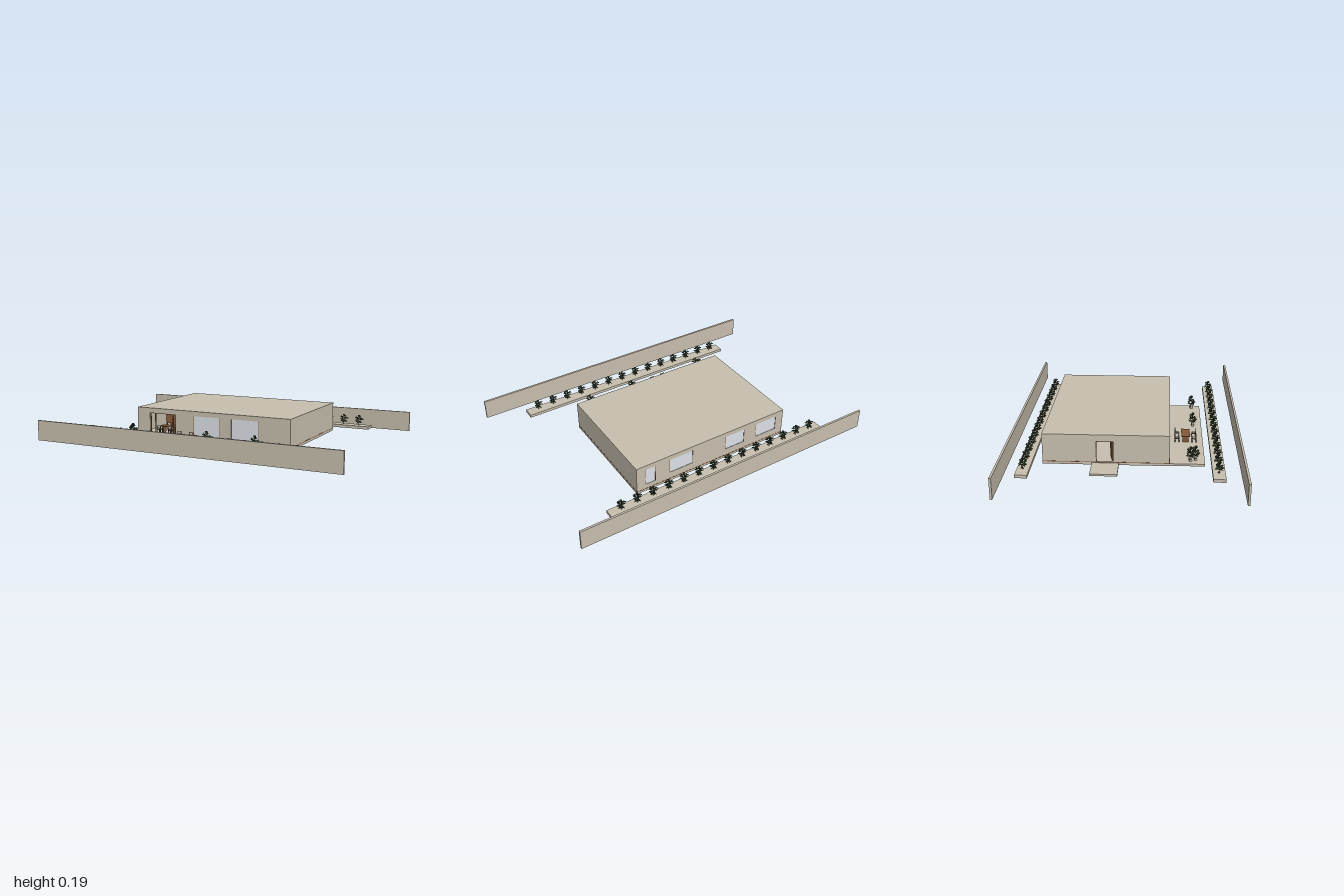
import * as THREE from 'three';
import { mergeGeometries } from 'three/addons/utils/BufferGeometryUtils.js';

const mat = (name, color, side = THREE.FrontSide) => {
  const m = new THREE.MeshStandardMaterial({ color, side });
  m.name = name;
  return m;
};

export function createModel() {
  const root = new THREE.Group();
  const stone = mat('stone', 0xc7bfae);
  const wood = mat('wood', 0x85593a);
  const darkWood = mat('dark wood', 0x5a3f2b);
  const glass = mat('glass', 0xdde1e8);
  const metal = mat('dark metal', 0x45413c);
  const leaf = mat('leaf', 0x3a4a35, THREE.DoubleSide);

  const add = (name, geo, material, parent = root) => {
    const m = new THREE.Mesh(geo, material);
    m.name = name;
    parent.add(m);
    return m;
  };
  // Box given by its limits on each axis
  const box = (name, material, x0, x1, y0, y1, z0, z1, parent = root) => {
    const g = new THREE.BoxGeometry(x1 - x0, y1 - y0, z1 - z0);
    g.translate((x0 + x1) / 2, (y0 + y1) / 2, (z0 + z1) / 2);
    return add(name, g, material, parent);
  };

  // Boundary walls and planters
  for (const z of [0.685, -0.685]) box('boundaryWall', stone, -1, 1, 0.003, 0.13, z - 0.0065, z + 0.0065);
  box('frontPlanter', stone, -0.765, 0.762, 0.016, 0.035, 0.51, 0.583);
  box('backPlanter', stone, -0.765, 0.762, 0.016, 0.035, -0.605, -0.533);

  // House floor with a wooden band, roof, terrace and entry slab
  const X0 = -0.534, X1 = 0.532, Z0 = -0.48, Z1 = 0.268, F = 0.019, T = 0.012;
  box('foundation', stone, X0, X1, 0, 0.015, Z0, Z1);
  box('woodBand', wood, X0 - 0.001, X1 + 0.001, 0.015, F, Z0 - 0.001, Z1 + 0.001);
  box('floor', stone, X0 + T, X1 - T, F, F + 0.002, Z0 + T, Z1 - T);
  box('roof', stone, X0, X1, 0.178, 0.19, Z0, Z1);
  box('terrace', stone, -0.53, 0.418, 0, 0.014, Z1, 0.475);
  box('entrySlab', stone, -0.685, X0, 0, 0.012, -0.19, -0.03);

  // Wall in the xy plane with rectangular openings [x0, x1, y0, y1]
  const wallGeo = (a, b, holes) => {
    const rect = (P, x0, x1, y0, y1) => new P([[x0, y0], [x1, y0], [x1, y1], [x0, y1]]
      .map(([x, y]) => new THREE.Vector2(x, y)));
    const s = rect(THREE.Shape, a, b, F, 0.178);
    for (const h of holes) s.holes.push(rect(THREE.Path, ...h));
    return new THREE.ExtrudeGeometry(s, { depth: T, bevelEnabled: false });
  };
  const frontDoors = [[-0.12, 0.065, 0.021, 0.16], [0.14, 0.33, 0.021, 0.16]];
  const opening = [-0.44, -0.25, 0.021, 0.16];
  const backWindows = [[0.404, 0.475, 0.05, 0.16], [0.143, 0.31, 0.065, 0.16],
    [-0.235, -0.093, 0.065, 0.16], [-0.48, -0.322, 0.065, 0.16]];
  add('frontWall', wallGeo(X0, X1, [opening, ...frontDoors]), stone).position.z = Z1 - T;
  add('backWall', wallGeo(X0, X1, backWindows), stone).position.z = Z0;
  box('leftWall', stone, X1 - T, X1, F, 0.178, Z0 + T, Z1 - T);
  const entry = wallGeo(Z0 + T, Z1 - T, [[-0.165, -0.06, 0.021, 0.15]]);
  entry.rotateY(-Math.PI / 2);
  add('entryWall', entry, stone).position.x = X0 + T;

  // Glazing with slim side frames
  const glaze = (name, [x0, x1, y0, y1], z) => {
    box(name + 'Glass', glass, x0, x1, y0, y1, z - 0.002, z + 0.002);
    for (const x of [x0, x1 - 0.003]) box(name + 'Frame', wood, x, x + 0.003, y0, y1, z - 0.004, z + 0.004);
  };
  for (const d of frontDoors) glaze('slidingDoor', d, Z1 - 0.004);
  for (const w of backWindows) glaze('backWindow', w, Z0 + 0.004);

  // Wooden skirting along the front wall
  for (const [a, b] of [[X0, -0.125], [0.07, 0.135], [0.335, 0.415]])
    box('frontSkirting', wood, a, b, 0.014, F, Z1, Z1 + 0.003);

  // Frame of the open front bay
  for (const x of [-0.44, -0.405, -0.275, -0.254])
    box('bayPost', wood, x, x + 0.004, 0.021, 0.16, Z1 - T, Z1 - 0.004);
  box('bayLintel', wood, -0.44, -0.25, 0.156, 0.16, Z1 - T, Z1 - 0.004);

  // Entry door, standing open
  for (const z of [-0.165, -0.064]) box('doorFrame', wood, X0, X0 + T, 0.021, 0.15, z, z + 0.004);
  box('doorHead', wood, X0, X0 + T, 0.146, 0.15, -0.165, -0.06);
  const door = box('entryDoor', wood, 0, 0.09, 0.022, 0.146, -0.003, 0.003);
  door.position.set(X0 + T, 0, -0.066);
  door.rotation.y = 0.2;

  // Tables on the terrace and inside the open bay
  const table = (x, y, z) => {
    const t = new THREE.Group();
    t.name = 'table';
    box('tableTop', wood, -0.06, 0.06, 0.037, 0.042, -0.0265, 0.0265, t);
    for (const s of [-0.044, 0.044]) box('tableLeg', wood, s - 0.006, s + 0.006, 0, 0.037, -0.018, 0.018, t);
    t.position.set(x, y, z);
    root.add(t);
  };

  // Chair with its back towards +z, or -z when turned
  const chair = (x, y, z, turned) => {
    const c = new THREE.Group();
    c.name = 'chair';
    const r = 0.0145;
    for (const sx of [-r, r - 0.004]) for (const sz of [-r, r - 0.004])
      box('chairLeg', metal, sx, sx + 0.004, 0, sz > 0 ? 0.05 : 0.024, sz, sz + 0.004, c);
    box('chairSeatFrame', metal, -r, r, 0.022, 0.026, -r, r, c);
    box('chairSeat', stone, -0.009, 0.009, 0.026, 0.029, -0.009, 0.009, c);
    box('chairBack', stone, -r + 0.004, r - 0.004, 0.034, 0.05, r - 0.004, r, c);
    c.position.set(x, y, z);
    if (turned) c.rotation.y = Math.PI;
    root.add(c);
  };
  for (const [x, y, z] of [[-0.16, 0.014, 0.3675], [-0.36, 0.021, 0.16]]) {
    table(x, y, z);
    for (const dx of [-0.043, 0.041]) for (const side of [-1, 1])
      chair(x + dx, y, z + side * 0.053, side < 0);
  }

  // One plant: a stem with tiers of twisted pointed leaves
  const parts = [];
  const leafGeo = (len, wide, rise, droop) => {
    const g = new THREE.BufferGeometry();
    g.setAttribute('position', new THREE.Float32BufferAttribute([
      0, 0, 0, len * 0.55, rise, wide, len, rise - droop, 0,
      0, 0, 0, len, rise - droop, 0, len * 0.55, rise, -wide], 3));
    g.computeVertexNormals();
    return g;
  };
  [[0.018, 0.024], [0.03, 0.031], [0.039, 0.029], [0.047, 0.02]].forEach(([y, len], tier) => {
    for (let i = 0; i < 5; i++) {
      const wobble = Math.sin(i * 2.3 + tier * 1.7);
      parts.push(leafGeo(len * (1 + wobble * 0.12), 0.006, 0.009 + wobble * 0.006, 0.009)
        .rotateX(i % 2 ? 0.6 : -0.6)
        .rotateY(i * Math.PI * 0.4 + 0.3 + (tier % 2) * 0.2)
        .translate(0, y + wobble * 0.004, 0));
    }
  });
  for (let i = 0; i < 4; i++)
    parts.push(leafGeo(0.009, 0.005, 0.02, 0).rotateY(i * 1.6).translate(0, 0.047, 0));
  const foliage = mergeGeometries(parts);
  const stem = new THREE.CylinderGeometry(0.0015, 0.002, 0.052, 5).translate(0, 0.026, 0);
  const pot = new THREE.CylinderGeometry(0.011, 0.009, 0.02, 10).translate(0, 0.01, 0);

  const plant = (x, y, z, potted = false) => {
    const p = new THREE.Group();
    p.name = 'plant';
    add('leaves', foliage, leaf, p);
    add('stem', stem, darkWood, p);
    if (potted) add('pot', pot, stone, p);
    p.position.set(x, y, z);
    root.add(p);
    return p;
  };
  for (let i = 0; i < 14; i++) for (const z of [0.548, -0.568]) plant(-0.684 + i * 0.1054, 0.035, z);
  // Potted terrace plants
  for (const [x, z] of [[-0.49, 0.39], [-0.475, 0.42], [0.052, 0.418], [0.37, 0.418]])
    plant(x, 0.014, z, true).scale.y = 1.35;

  return root;
}
